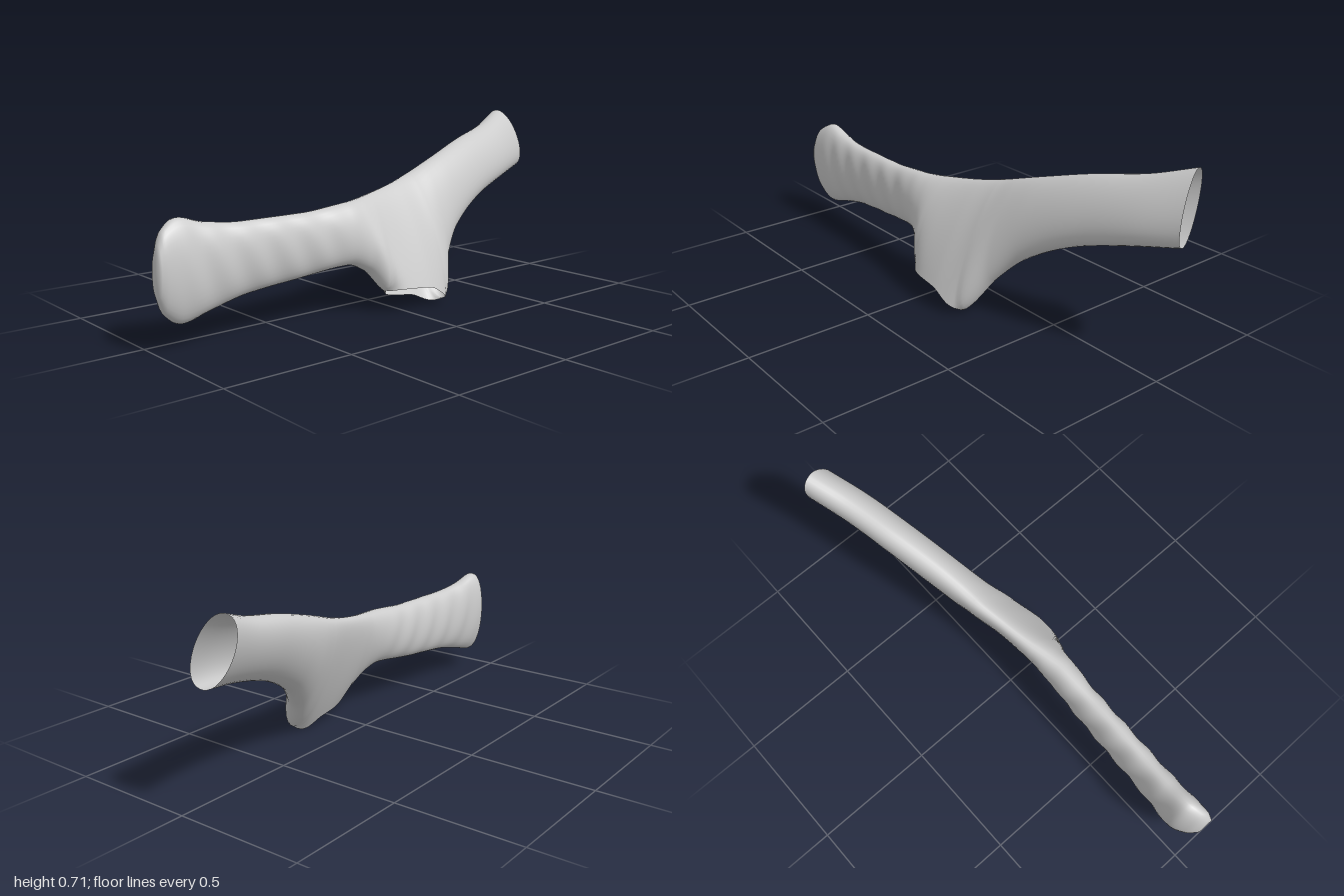
import * as THREE from 'three';
import { mergeVertices } from 'three/addons/utils/BufferGeometryUtils.js';

// Cross-sections along x: x, top y, top z, bottom y, bottom z, half thickness
const SECTIONS = [
  [-1.0, 0.35, 0.105, 0.2, 0.1, 0.025],
  [-0.97, 0.415, 0.09, 0.13, 0.09, 0.046],
  [-0.9, 0.45, 0.07, 0.085, 0.08, 0.063],
  [-0.8, 0.425, 0.075, 0.11, 0.08, 0.06],
  [-0.65, 0.41, 0.085, 0.145, 0.08, 0.056],
  [-0.4, 0.41, 0.09, 0.17, 0.09, 0.056],
  [-0.2, 0.425, 0.085, 0.19, 0.12, 0.062],
  [-0.13, 0.43, 0.07, 0.16, 0.15, 0.064],
  [-0.07, 0.437, 0.055, 0.08, 0.2, 0.065],
  [0.0, 0.447, 0.04, 0.068, 0.205, 0.066],
  [0.1, 0.465, 0.02, 0.055, 0.207, 0.067],
  [0.21, 0.492, -0.005, 0.01, 0.215, 0.069],
  [0.3, 0.52, -0.02, 0.145, 0.135, 0.07],
  [0.4, 0.55, -0.04, 0.25, 0.08, 0.07],
  [0.6, 0.605, -0.09, 0.36, 0.015, 0.068],
  [0.8, 0.65, -0.14, 0.42, -0.04, 0.065],
  [0.965, 0.705, -0.2, 0.455, -0.095, 0.063],
];
const X_END = 0.965;

// Tangent that never overshoots between neighbouring sections
function tangent(i, c) {
  const s = SECTIONS;
  const slope = (a, b) => (s[b][c] - s[a][c]) / (s[b][0] - s[a][0]);
  if (i === 0) return slope(0, 1);
  if (i === s.length - 1) return slope(i - 1, i);
  const a = slope(i - 1, i), b = slope(i, i + 1);
  return a * b <= 0 ? 0 : (2 * a * b) / (a + b);
}

// Smooth section values at x
function sectionAt(x) {
  let i = 0;
  while (i < SECTIONS.length - 2 && x > SECTIONS[i + 1][0]) i++;
  const A = SECTIONS[i], B = SECTIONS[i + 1], w = B[0] - A[0], t = (x - A[0]) / w;
  const t2 = t * t, t3 = t2 * t;
  return A.map((v, c) => c === 0 ? x
    : (2 * t3 - 3 * t2 + 1) * v + (t3 - 2 * t2 + t) * w * tangent(i, c)
    + (3 * t2 - 2 * t3) * B[c] + (t3 - t2) * w * tangent(i + 1, c));
}

// Half-angle of the opening under the stump
function gapAt(x) {
  const u = (x - 0.07) / 0.14;
  return Math.abs(u) < 1 ? 1.2 * Math.sqrt(1 - u * u) : 0;
}

function createBodyGeometry() {
  const rows = 196, around = 36, pos = [], index = [];
  for (let i = 0; i <= rows; i++) {
    const x = -1 + ((1 + X_END) * i) / rows;
    const [, yt, zt, yb, zb, h] = sectionAt(x);
    const len = Math.hypot(yt - yb, zt - zb);
    const dy = (yt - yb) / len, dz = (zt - zb) / len;
    const g = gapAt(x);
    // the far limb is cut and swept at a slant
    const shear = 0.33 * THREE.MathUtils.smoothstep(x, 0.25, 0.9);
    // shallow slanted grooves fade in along the grip
    const grip = THREE.MathUtils.smoothstep(x, -0.97, -0.8)
      * (1 - THREE.MathUtils.smoothstep(x, -0.35, -0.15));
    for (let j = 0; j <= around; j++) {
      const a = g + ((2 * Math.PI - 2 * g) * j) / around;
      const v = ((Math.cos(g) - Math.cos(a)) / (Math.cos(g) + 1)) - 0.5;
      const s = Math.sin(a);
      const side = h * Math.sign(s) * Math.pow(Math.abs(s), 0.9)
        * (1 + 0.06 * grip * Math.sin(48 * x + 5 * v));
      const y = (yt + yb) / 2 + dy * v * len - dz * side;
      const z = (zt + zb) / 2 + dz * v * len + dy * side;
      pos.push(x + shear * (z - (zt + zb) / 2), y, z);
    }
  }
  const n = around + 1;
  for (let i = 0; i < rows; i++) {
    for (let j = 0; j < around; j++) {
      const a = i * n + j, b = a + n;
      index.push(a, b, b + 1, a, b + 1, a + 1);
    }
  }
  // rounded butt closing the grip end
  const centre = pos.length / 3;
  pos.push(-1, 0.275, 0.1025);
  for (let j = 0; j < around; j++) index.push(centre, j, j + 1);

  const geo = new THREE.BufferGeometry();
  geo.setAttribute('position', new THREE.Float32BufferAttribute(pos, 3));
  geo.setIndex(index);
  const merged = mergeVertices(geo, 1e-5);
  merged.computeVertexNormals();
  return merged;
}

export function createModel() {
  const group = new THREE.Group();
  group.name = 'forkedHandle';
  const material = new THREE.MeshStandardMaterial({ color: 0xcccccc, side: THREE.DoubleSide });
  // one continuous skin: grip, stump with open underside, open-ended limb
  const body = new THREE.Mesh(createBodyGeometry(), material);
  body.name = 'gripStumpAndLimb';
  group.add(body);
  return group;
}
